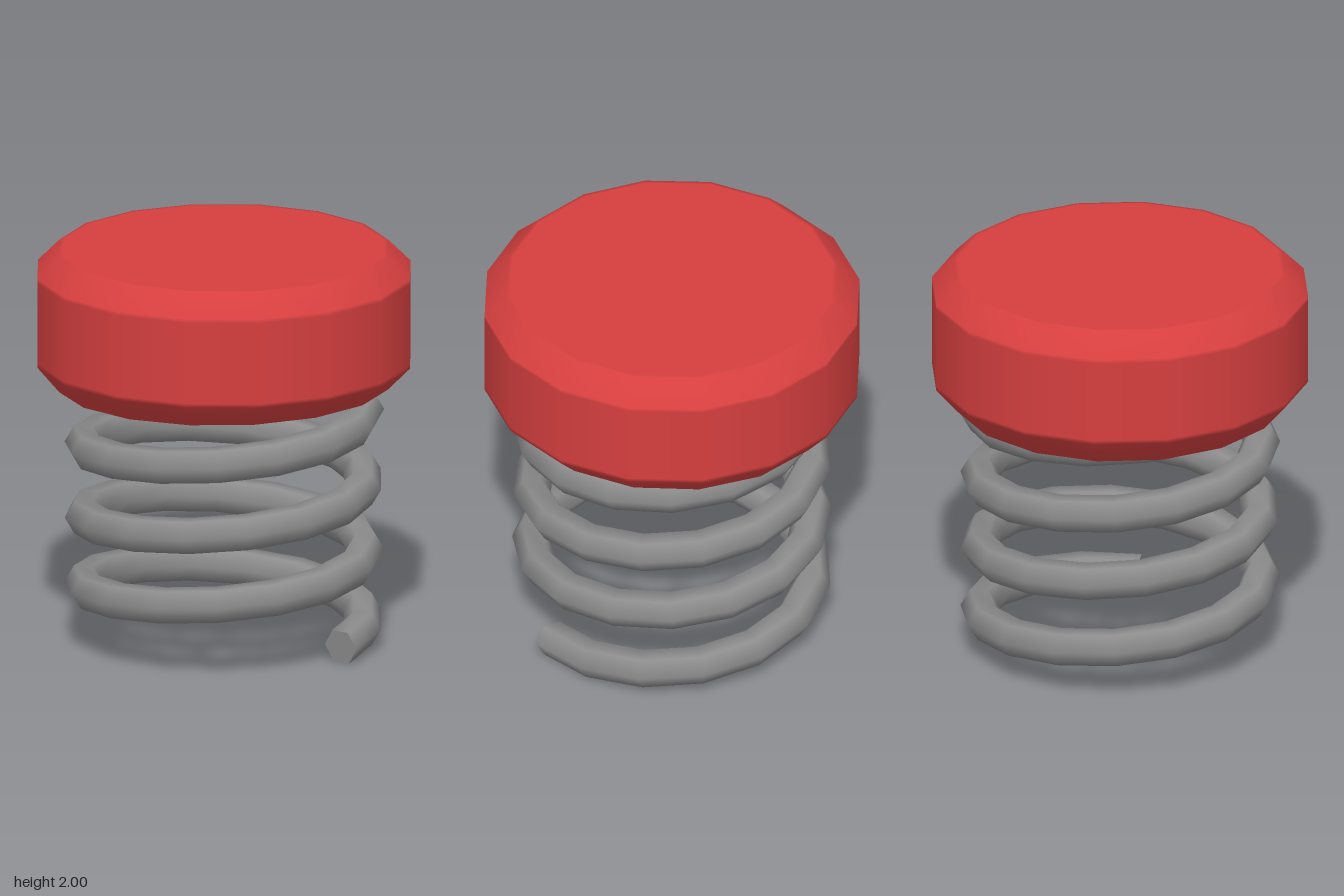
import * as THREE from 'three';

const SIDES = 6;            // hexagonal wire
const STEPS_PER_TURN = 15.5;
const TURNS = 4;
const PITCH = 0.355;
const COIL_RADIUS = 0.692;
const WIRE_RADIUS = 0.0925;
const START_Y = 0.082;

// Hexagonal cross-sections swept up a helix, with flat end faces
function coilGeometry() {
  const steps = Math.round(STEPS_PER_TURN * TURNS);
  const positions = [], index = [];
  const up = new THREE.Vector3(0, 1, 0);

  const addRing = (step) => {
    const turn = step / STEPS_PER_TURN;
    const a = turn * Math.PI * 2;
    const out = new THREE.Vector3(Math.cos(a), 0, -Math.sin(a));
    const along = new THREE.Vector3(-Math.sin(a), 0, -Math.cos(a))
      .multiplyScalar(COIL_RADIUS)
      .addScaledVector(up, PITCH / (Math.PI * 2)).normalize();
    const across = new THREE.Vector3().crossVectors(along, out);
    const centre = out.clone().multiplyScalar(COIL_RADIUS);
    centre.y = START_Y + PITCH * turn;
    const first = positions.length / 3;
    for (let j = 0; j < SIDES; j++) {
      const t = (j / SIDES) * Math.PI * 2;
      const p = centre.clone()
        .addScaledVector(out, WIRE_RADIUS * Math.cos(t))
        .addScaledVector(across, WIRE_RADIUS * Math.sin(t));
      positions.push(p.x, p.y, p.z);
    }
    return first;
  };

  for (let i = 0; i <= steps; i++) {
    const b = addRing(i), a = b - SIDES;
    if (i === 0) continue;
    for (let j = 0; j < SIDES; j++) {
      const k = (j + 1) % SIDES;
      index.push(a + j, a + k, b + j, a + k, b + k, b + j);
    }
  }
  // End faces use their own corners so their edges stay sharp
  const start = addRing(0), end = addRing(steps);
  for (let j = 1; j < SIDES - 1; j++) {
    index.push(start, start + j + 1, start + j);
    index.push(end, end + j, end + j + 1);
  }

  const geometry = new THREE.BufferGeometry();
  geometry.setAttribute('position', new THREE.Float32BufferAttribute(positions, 3));
  geometry.setIndex(index);
  geometry.computeVertexNormals();
  return geometry;
}

// Sixteen-sided bevelled drum; narrow extra rings keep the large faces flat
function capGeometry() {
  const profile = [
    [0, 1.317], [0.8, 1.317], [0.82, 1.317],
    [0.93, 1.44], [0.93, 1.46], [0.93, 1.87], [0.93, 1.89],
    [0.82, 2], [0.8, 2], [0, 2],
  ].map(([r, y]) => new THREE.Vector2(r, y));
  const geometry = new THREE.LatheGeometry(profile, 16);
  // The underside tilts a little with the rise of the coil
  const p = geometry.attributes.position;
  for (let i = 0; i < p.count; i++) {
    if (p.getY(i) < 1.4) p.setY(i, p.getY(i) + 0.014 * p.getX(i));
  }
  return geometry;
}

export function createModel() {
  const red = new THREE.MeshStandardMaterial({ color: 0xd63f3f });
  red.name = 'red';
  const grey = new THREE.MeshStandardMaterial({ color: 0x8c8c8c });
  grey.name = 'grey';

  const model = new THREE.Group();
  model.name = 'springButton';

  const spring = new THREE.Mesh(coilGeometry(), grey);
  spring.name = 'spring';
  const cap = new THREE.Mesh(capGeometry(), red);
  cap.name = 'cap';

  model.add(spring, cap);
  return model;
}
